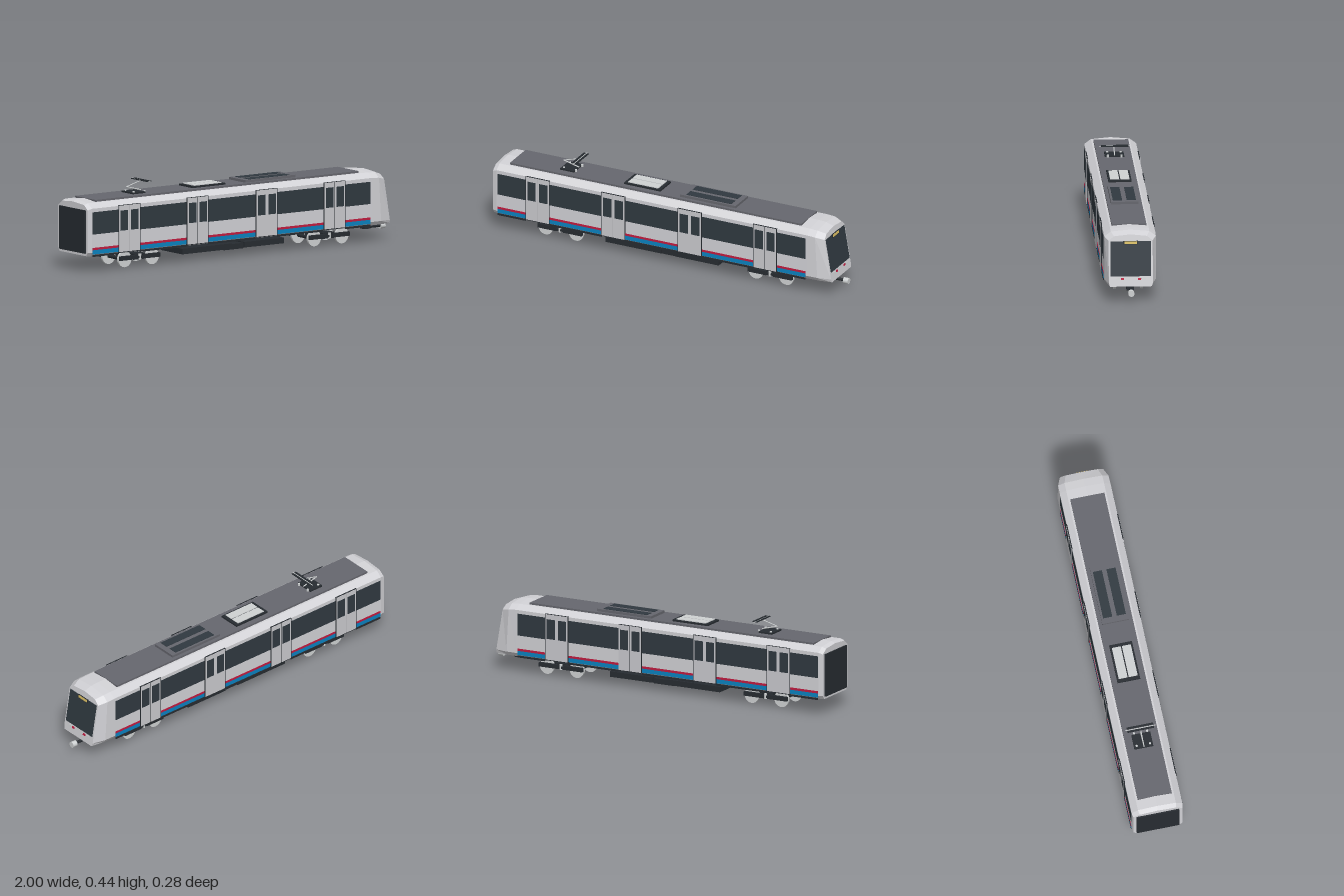
import * as THREE from 'three';

const paint = (name, color) => Object.assign(new THREE.MeshStandardMaterial({ color }), { name });

export function createModel() {
  const model = new THREE.Group();
  model.name = 'railCar';
  const shell = paint('shell grey', 0xd2d2d6);
  const doorGrey = paint('door grey', 0xcacace);
  const roofGrey = paint('roof grey', 0x66676e);
  const glass = paint('dark glass', 0x303940);
  const dark = paint('dark metal', 0x272c31);
  const blue = paint('stripe blue', 0x0a82c0);
  const red = paint('signal red', 0xc01c40);
  const yellow = paint('sign yellow', 0xd8bc62);
  const metal = paint('light metal', 0xcfd2d3);

  const add = (name, geo, mat, x, y, z, parent = model) => {
    const m = new THREE.Mesh(geo, mat);
    m.name = name;
    m.position.set(x, y, z);
    parent.add(m);
    return m;
  };
  // box given by its ranges on each axis
  const box = (name, mat, [x0, x1], [y0, y1], [z0, z1], parent = model) =>
    add(name, new THREE.BoxGeometry(x1 - x0, y1 - y0, z1 - z0), mat,
      (x0 + x1) / 2, (y0 + y1) / 2, (z0 + z1) / 2, parent);
  const rod = (name, mat, a, b, r, parent = model) => {
    const p = new THREE.Vector3(...a), q = new THREE.Vector3(...b);
    const mid = p.clone().add(q).multiplyScalar(0.5);
    const m = add(name, new THREE.CylinderGeometry(r, r, p.distanceTo(q), 8), mat, mid.x, mid.y, mid.z, parent);
    m.quaternion.setFromUnitVectors(new THREE.Vector3(0, 1, 0), q.sub(p).normalize());
    return m;
  };

  // Body shell: faceted half sections [z, y], mirrored and lofted along x
  const full = [[0.12, 0.085], [0.134, 0.105], [0.134, 0.335], [0.1, 0.36], [0, 0.369]];
  const rear = [[0.116, 0.087], [0.129, 0.106], [0.129, 0.328], [0.096, 0.352], [0, 0.36]];
  const nose = [[0.108, 0.085], [0.114, 0.103], [0.114, 0.32], [0.085, 0.343], [0, 0.352]];
  const mid = full.map(([z, y], i) => [z * 0.965 + nose[i][0] * 0.035, y - (i > 1 ? 0.003 : 0)]);
  const lean = 0.17;
  const stations = [
    [rear, () => -0.993], [full, () => -0.97], [full, () => 0.825],
    [mid, (y) => 0.885 - 0.06 * (y - 0.085)],
    [nose, (y) => 0.957 - lean * (y - 0.085)],
  ];
  const rings = stations.map(([half, xAt]) => [
    ...half.map(([z, y]) => [xAt(y), y, z]),
    ...half.slice(0, -1).reverse().map(([z, y]) => [xAt(y), y, -z]),
  ]);
  const pos = [], n = rings[0].length;
  for (let i = 0; i < rings.length - 1; i++) {
    for (let j = 0; j < n; j++) {
      const k = (j + 1) % n;
      const a = rings[i][j], b = rings[i][k], c = rings[i + 1][j], d = rings[i + 1][k];
      pos.push(...a, ...c, ...b, ...b, ...c, ...d);
    }
  }
  const last = rings[rings.length - 1];
  for (let j = 1; j < n - 1; j++) {
    pos.push(...rings[0][0], ...rings[0][j], ...rings[0][j + 1]);
    pos.push(...last[0], ...last[j + 1], ...last[j]);
  }
  const bodyGeo = new THREE.BufferGeometry();
  bodyGeo.setAttribute('position', new THREE.Float32BufferAttribute(pos, 3));
  bodyGeo.computeVertexNormals();
  add('bodyShell', bodyGeo, shell, 0, 0, 0);

  // Sides: windows, stripes, sills and double doors, mirrored
  const bays = [[-0.965, -0.802], [-0.662, -0.362], [-0.228, 0.078], [0.218, 0.514], [0.653, 0.815]];
  const doors = [-0.732, -0.295, 0.148, 0.583];
  for (const s of [1, -1]) {
    const side = new THREE.Group();
    side.name = s > 0 ? 'leftSide' : 'rightSide';
    model.add(side);
    const plate = (name, mat, xs, ys, depth) =>
      box(name, mat, xs, ys, s > 0 ? [0.132, depth] : [-depth, -0.132], side);
    for (const bay of bays) {
      plate('sideWindow', glass, bay, [0.2, 0.316], 0.1355);
      plate('redStripe', red, bay, [0.118, 0.13], 0.1355);
      plate('blueStripe', blue, bay, [0.096, 0.118], 0.1355);
      plate('sill', dark, bay, [0.083, 0.093], 0.1358);
    }
    for (const x of doors) {
      plate('doorFrame', dark, [x - 0.069, x + 0.069], [0.09, 0.338], 0.1378);
      for (const d of [-1, 1]) {
        const c = x + d * 0.0335;
        plate('doorLeaf', doorGrey, [c - 0.0325, c + 0.0325], [0.094, 0.336], 0.1388);
        plate('doorWindow', glass, [c - 0.024, c + 0.024], [0.205, 0.31], 0.1396);
      }
    }
  }

  // Cab front: details lying on the sloping face
  const cab = new THREE.Group();
  cab.name = 'cabFront';
  cab.position.set(0.957, 0.085, 0);
  cab.rotation.z = Math.atan(lean);
  model.add(cab);
  box('windscreen', glass, [-0.002, 0.003], [0.053, 0.235], [-0.105, 0.105], cab);
  box('signFrame', dark, [0, 0.006], [0.219, 0.237], [-0.039, 0.039], cab);
  box('destinationSign', yellow, [0, 0.0075], [0.222, 0.235], [-0.033, 0.033], cab);
  for (const s of [-1, 1]) {
    const lamp = (name, mat, z, w) =>
      box(name, mat, [-0.002, 0.004], [0.034, 0.044], [s * z - w / 2, s * z + w / 2], cab);
    lamp('headlight', metal, 0.067, 0.022);
    lamp('tailLight', red, 0.044, 0.016);
  }

  // Rear gangway and front coupler
  box('gangway', dark, [-1, -0.985], [0.1, 0.326], [-0.112, 0.112]);
  rod('couplerBar', dark, [0.88, 0.058, 0], [0.985, 0.058, 0], 0.008);
  rod('couplerHead', metal, [0.972, 0.057, 0], [1, 0.057, 0], 0.016).geometry =
    new THREE.CylinderGeometry(0.016, 0.016, 0.028, 20);
  box('couplerMount', dark, [0.86, 0.9], [0.05, 0.088], [-0.02, 0.02]);

  // Roof panel and equipment
  box('roofPanel', roofGrey, [-0.915, 0.77], [0.355, 0.371], [-0.09, 0.09]);
  box('ventFrame', dark, [-0.27, -0.06], [0.368, 0.38], [-0.06, 0.06]);
  box('coolingUnit', roofGrey, [0.06, 0.38], [0.368, 0.384], [-0.071, 0.071]);
  for (const s of [-1, 1]) {
    const zs = (a, b) => (s > 0 ? [a, b] : [-b, -a]);
    box('ventPanel', metal, [-0.252, -0.078], [0.378, 0.384], zs(0.003, 0.05));
    box('coolingGrille', glass, [0.09, 0.35], [0.38, 0.386], zs(0.012, 0.06));
  }

  // Pantograph: base, folded arm and contact head
  const panto = new THREE.Group();
  panto.name = 'pantograph';
  model.add(panto);
  box('pantographBase', dark, [-0.645, -0.565], [0.37, 0.379], [-0.05, 0.05], panto);
  for (const x of [-0.63, -0.56]) for (const z of [-0.035, 0.035]) {
    rod('insulator', metal, [x, 0.37, z], [x, 0.384, z], 0.006, panto);
  }
  rod('lowerArm', metal, [-0.56, 0.382, 0], [-0.65, 0.405, 0], 0.003, panto);
  rod('upperArm', metal, [-0.65, 0.405, 0], [-0.555, 0.431, 0], 0.0025, panto);
  for (const x of [-0.564, -0.545]) {
    box('contactStrip', dark, [x - 0.005, x + 0.005], [0.431, 0.435], [-0.07, 0.07], panto);
  }
  rod('headHorns', metal, [-0.555, 0.432, -0.08], [-0.555, 0.432, 0.08], 0.0022, panto);

  // Bogies
  for (const cx of [-0.628, 0.587]) {
    const bogie = new THREE.Group();
    bogie.name = 'bogie';
    bogie.position.x = cx;
    model.add(bogie);
    for (const dx of [-0.088, 0.088]) {
      rod('axle', dark, [dx, 0.042, -0.07], [dx, 0.042, 0.07], 0.01, bogie);
      for (const z of [-0.07, 0.07]) {
        add('wheel', new THREE.CylinderGeometry(0.042, 0.042, 0.013, 28), metal, dx, 0.042, z, bogie)
          .rotation.x = Math.PI / 2;
      }
    }
    for (const s of [-1, 1]) {
      const zs = s > 0 ? [0.077, 0.092] : [-0.092, -0.077];
      for (const d of [-1, 1]) {
        box('sideFrame', dark, d > 0 ? [0.02, 0.128] : [-0.128, -0.02], [0.038, 0.06], zs, bogie);
      }
      box('frameLink', dark, [-0.02, 0.02], [0.042, 0.054], zs, bogie);
      rod('spring', metal, [0, 0.036, s * 0.086], [0, 0.064, s * 0.086], 0.008, bogie);
    }
    box('crossBeam', dark, [-0.035, 0.035], [0.034, 0.066], [-0.078, 0.078], bogie);
    rod('pivot', dark, [0, 0.06, 0], [0, 0.09, 0], 0.025, bogie);
  }

  // Underfloor equipment
  box('equipmentBox', dark, [-0.36, -0.04], [0.037, 0.066], [-0.092, 0.092]);
  box('equipmentBox', dark, [0.04, 0.293], [0.037, 0.066], [-0.092, 0.092]);
  box('equipmentLink', dark, [-0.085, 0.04], [0.032, 0.06], [-0.08, 0.08]);
  return model;
}
